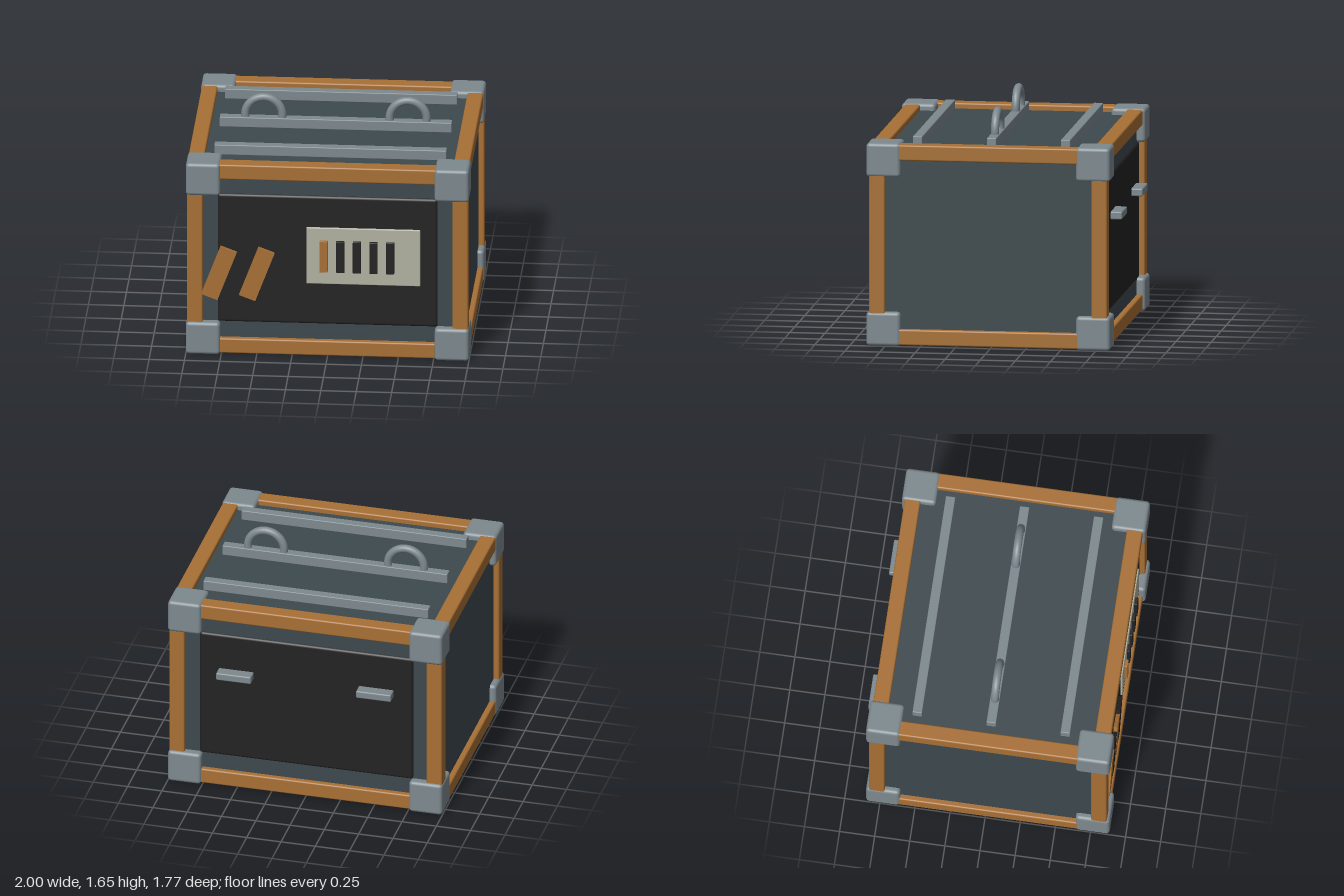
import * as THREE from 'three';
import { RoundedBoxGeometry } from 'three/addons/geometries/RoundedBoxGeometry.js';

const mat = (name, color) => {
  const m = new THREE.MeshStandardMaterial({ color });
  m.name = name;
  return m;
};

export function createModel() {
  const slate = mat('slate body', 0x3d494e);
  const steel = mat('grey steel', 0x7d898f);
  const wood = mat('orange trim', 0xa87035);
  const black = mat('black panel', 0x232323);
  const cream = mat('pale plate', 0xb3b3a2);

  const root = new THREE.Group();
  root.name = 'crate';
  const CY = 0.7235, CZ = 0.0175; // centre of the crate body

  // box with softened edges; radius 0 gives a plain box
  const box = (name, material, size, pos, radius = 0, parent = root) => {
    const geo = radius
      ? new RoundedBoxGeometry(...size, 3, radius)
      : new THREE.BoxGeometry(...size);
    const mesh = new THREE.Mesh(geo, material);
    mesh.name = name;
    mesh.position.set(...pos);
    parent.add(mesh);
    return mesh;
  };

  // recessed body
  box('body', slate, [1.91, 1.35, 1.615], [0, CY, CZ], 0.02);

  // corner guards and frame beams
  const B = 0.112;
  for (const a of [-1, 1]) {
    for (const b of [-1, 1]) {
      for (const c of [-1, 1]) {
        box('cornerGuard', steel, [0.242, 0.242, 0.242],
          [a * 0.879, CY + b * 0.6025, CZ + c * 0.7465], 0.025);
      }
      box('beamAcross', wood, [1.6, B, B], [0, CY + a * 0.659, CZ + b * 0.791], 0.012);
      box('beamUpright', wood, [B, 1.05, B], [a * 0.938, CY, CZ + b * 0.791], 0.012);
      box('beamSide', wood, [B, B, 1.35], [a * 0.938, CY + b * 0.659, CZ], 0.012);
    }
  }

  // front and back panels
  for (const s of [-1, 1]) {
    box(s > 0 ? 'frontPanel' : 'backPanel', black, [1.555, 0.97, 0.06],
      [0, CY, CZ + s * 0.793], 0.02);
  }

  // vent plate with five slots, the first one coloured
  box('ventPlate', cream, [0.805, 0.425, 0.03], [0.2525, 0.7625, 0.84], 0.006);
  for (let i = 0; i < 5; i++) {
    box('ventSlot', i ? black : wood, [0.058, 0.235, 0.025],
      [-0.026 + i * 0.1175, 0.7625, 0.8645], 0.004);
  }

  // slanted hazard stripes
  for (let i = 0; i < 4; i++) {
    const stripe = box('hazardStripe', i % 2 ? black : wood, [0.123, 0.387, 0.03],
      [-0.766 + i * 0.1335, 0.614, i % 2 ? 0.853 : 0.854]);
    stripe.rotation.z = -0.36;
  }

  // roof rails
  for (const z of [-0.527, 0, 0.527]) {
    box('roofRail', steel, [1.64, 0.075, 0.068], [0, 1.4365, CZ + z], 0.006);
  }

  // lifting loops and back grips
  const loopGeo = new THREE.TorusGeometry(0.131, 0.029, 14, 36, Math.PI * 1.12);
  loopGeo.rotateZ(-Math.PI * 0.06);
  for (const s of [-1, 1]) {
    const loop = new THREE.Mesh(loopGeo, steel);
    loop.name = 'liftingLoop';
    loop.position.set(s * 0.51, 1.49, CZ);
    root.add(loop);
    box('backGrip', steel, [0.255, 0.056, 0.09], [s * 0.51, 0.911, -0.841], 0.01);
  }

  return root;
}
